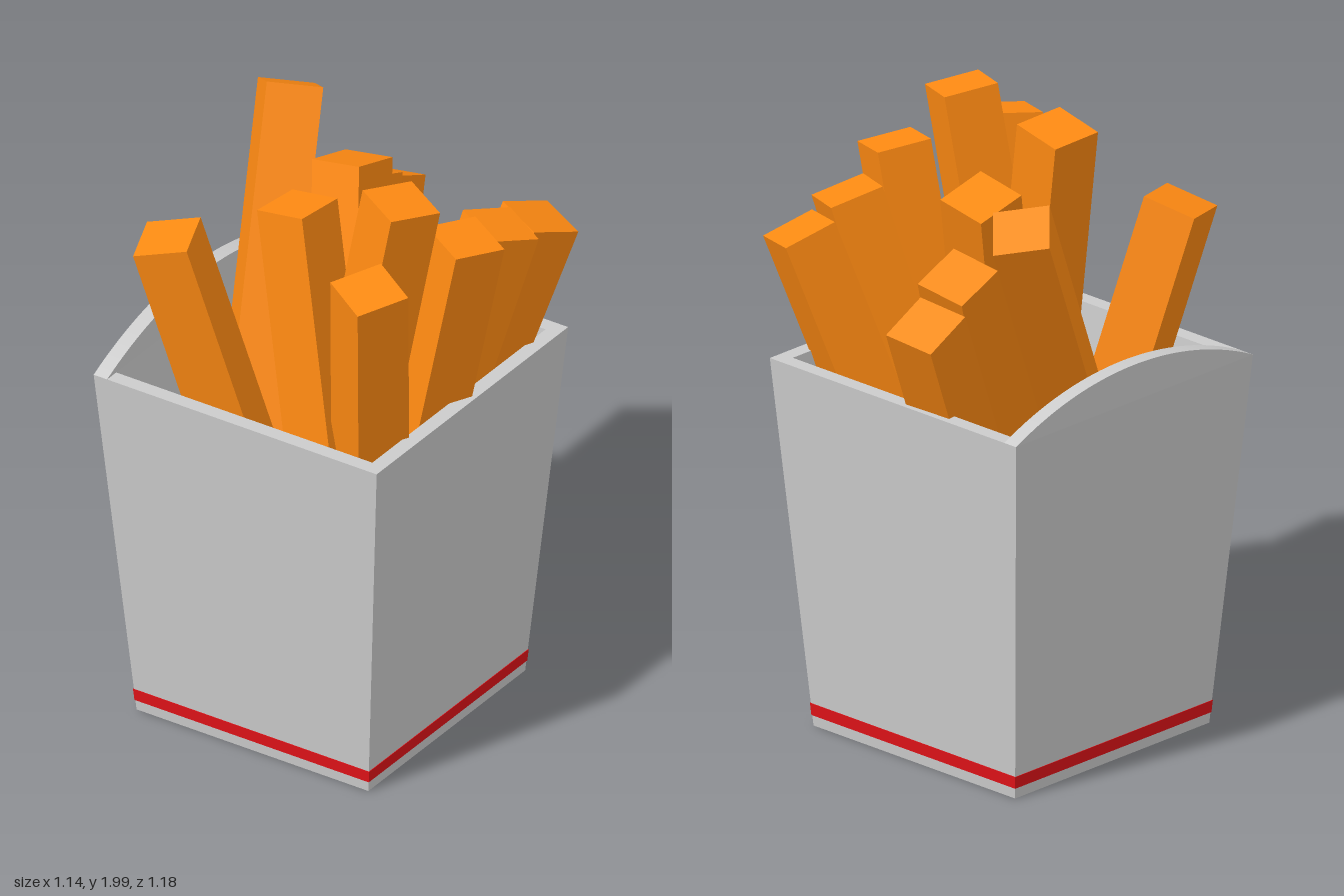
import * as THREE from 'three';

const BOX_X = -0.045, BOX_Z = 0.035;   // carton centre
const RIM = 1.22, BOTTOM = 0.43, TOP = 0.525, WALL = 0.05;
const halfAt = y => BOTTOM + (TOP - BOTTOM) * y / RIM;

const paper = new THREE.MeshStandardMaterial({ color: 0xcccccc, flatShading: true });
const red = new THREE.MeshStandardMaterial({ color: 0xe01218, flatShading: true });
const potato = new THREE.MeshStandardMaterial({ color: 0xff8a12, flatShading: true });

// Four-sided lathe: profile points are [half width, height]
function squareLathe(profile, material, name) {
  const points = profile.map(([half, y]) => new THREE.Vector2(half * Math.SQRT2, y));
  const mesh = new THREE.Mesh(new THREE.LatheGeometry(points, 4, Math.PI / 4), material);
  mesh.name = name;
  mesh.position.set(BOX_X, 0, BOX_Z);
  return mesh;
}

// Curved flap standing on the rim of the -x wall
function archedFlap() {
  const rise = 0.12;
  const radius = (TOP * TOP + rise * rise) / (2 * rise);
  const angle = Math.asin(TOP / radius);
  const shape = new THREE.Shape();
  shape.absarc(0, rise - radius, radius, Math.PI / 2 - angle, Math.PI / 2 + angle, false);
  shape.closePath();
  const geometry = new THREE.ExtrudeGeometry(shape, { depth: WALL, bevelEnabled: false, curveSegments: 32 });
  geometry.rotateY(Math.PI / 2);
  const mesh = new THREE.Mesh(geometry, paper);
  mesh.name = 'archedFlap';
  mesh.position.set(BOX_X - TOP, RIM, BOX_Z);
  return mesh;
}

// Each fry: centre of its top end (x, y, z), lean per unit height (x, z), twist in degrees
const FRIES = [
  [-0.448, 1.86, -0.34, -0.19, -0.51, -44],
  [-0.213, 1.53, -0.52, -0.16, -0.48, -2],
  [-0.18, 1.63, -0.343, -0.21, -0.42, -1],
  [-0.086, 1.81, -0.143, -0.18, -0.29, 3],
  [0.0, 1.89, 0.286, -0.18, -0.07, 4],
  [-0.385, 1.715, 0.432, -0.21, 0.2, -20],
  [0.43, 1.64, -0.413, 0.255, -0.27, 20],
  [0.42, 1.71, -0.21, 0.235, -0.185, 24],
  [0.455, 1.797, 0.035, 0.19, -0.04, 24],
  [0.33, 1.97, 0.203, 0.17, -0.06, 25],
  [0.385, 1.80, 0.46, 0.11, 0.17, 28],
];

function createFries() {
  const fries = new THREE.Group();
  fries.name = 'fries';
  const length = 1.5, side = 0.177;
  const geometry = new THREE.BoxGeometry(side, length, side);
  geometry.translate(0, -length / 2, 0);   // origin at the top end
  FRIES.forEach(([x, y, z, leanX, leanZ, twist], i) => {
    const axis = new THREE.Vector3(leanX, 1, leanZ).normalize();
    const a = THREE.MathUtils.degToRad(twist);
    const u = new THREE.Vector3(Math.cos(a), 0, Math.sin(a));
    u.addScaledVector(axis, -u.dot(axis)).normalize();
    const v = new THREE.Vector3().crossVectors(u, axis);
    const fry = new THREE.Mesh(geometry, potato);
    fry.name = `fry${i + 1}`;
    fry.quaternion.setFromRotationMatrix(new THREE.Matrix4().makeBasis(u, axis, v));
    fry.position.set(x, y, z);
    fries.add(fry);
  });
  return fries;
}

export function createModel() {
  const model = new THREE.Group();
  model.name = 'friesInCarton';

  // Tapered carton with outer walls, rim, inner walls and floor
  model.add(squareLathe([
    [0, 0], [BOTTOM, 0], [TOP, RIM], [TOP - WALL, RIM], [halfAt(WALL) - WALL, WALL], [0, WALL],
  ], paper, 'carton'));
  model.add(archedFlap());

  // Stripe around the foot of the carton
  const skin = 0.002;
  model.add(squareLathe([
    [halfAt(0.035), 0.035], [halfAt(0.035) + skin, 0.035],
    [halfAt(0.075) + skin, 0.075], [halfAt(0.075), 0.075],
  ], red, 'stripe'));

  model.add(createFries());
  return model;
}
